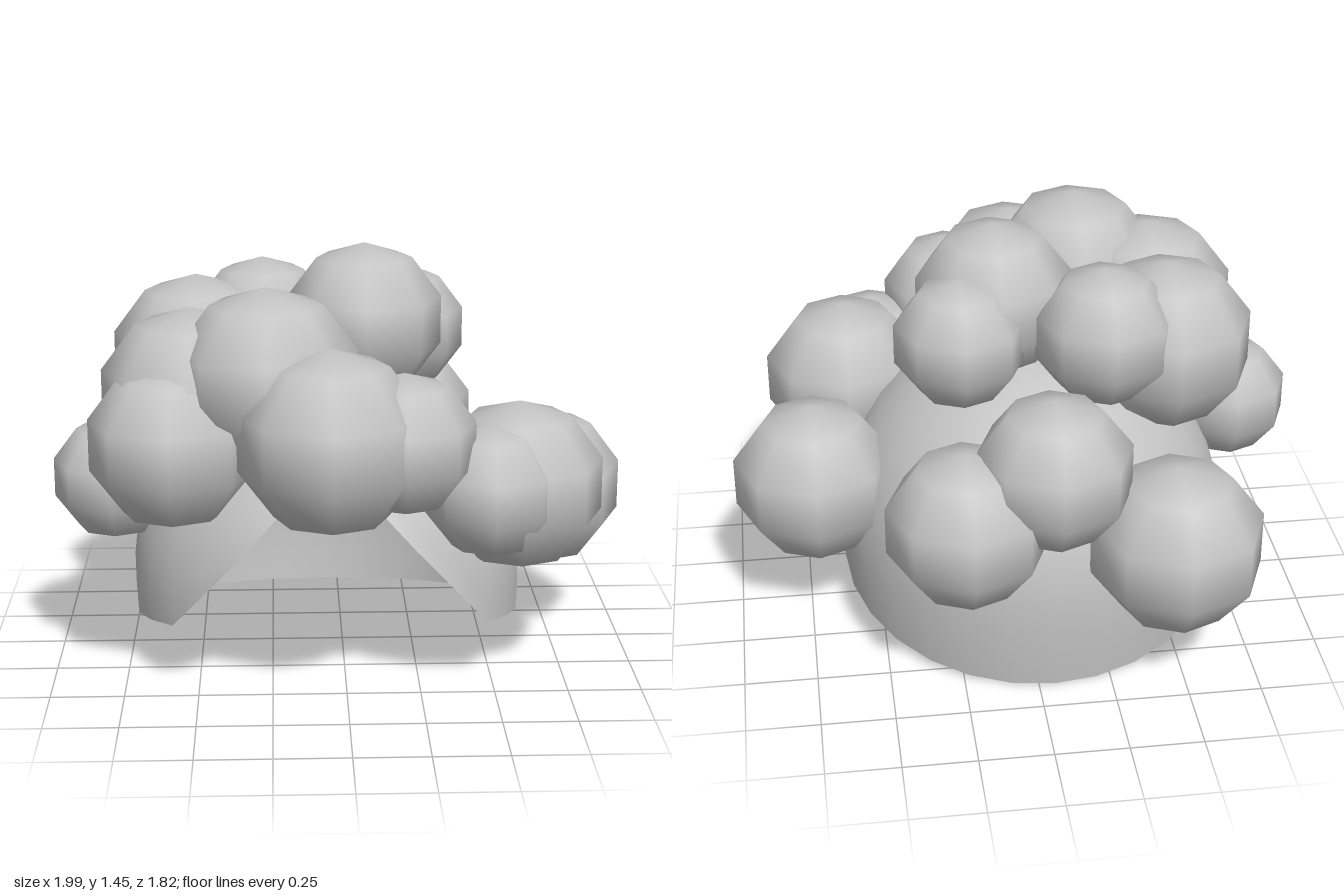
import * as THREE from 'three';
import { mergeVertices } from 'three/addons/utils/BufferGeometryUtils.js';

const hair = new THREE.MeshStandardMaterial({ color: 0xc4c4c4, side: THREE.DoubleSide });
hair.name = 'hair grey';

// Open dome with a tilted rim and a pointed arch cut in the front
function makeCap() {
  const cols = 28, rows = 12, R = 0.68, cx = -0.055, cy = 0.32, cz = 0.03;
  const geo = new THREE.SphereGeometry(1, cols, rows, 0, Math.PI * 2, 0, Math.PI / 2);
  const pos = geo.attributes.position;
  for (let i = 0; i <= rows; i++) {
    for (let j = 0; j <= cols; j++) {
      const u = ((j % cols) / cols) * Math.PI * 2;
      const dx = -Math.cos(u), dz = Math.sin(u);
      const fromFront = Math.abs(Math.atan2(dx, dz));
      const tilt = 0.135 + 0.215 * (cz + 0.67 * dz);
      const arch = 0.87 - 0.733 * fromFront;
      const rim = Math.max(tilt, arch);
      const phi = (i / rows) * Math.acos((rim - cy) / R);
      const c = Math.cos(phi);
      // the skirt below the widest line tapers only a little
      const r = R * (c >= 0 ? Math.sin(phi) : Math.sqrt(1 - 0.25 * c * c));
      pos.setXYZ(i * (cols + 1) + j, cx + dx * r, cy + R * c, cz + dz * r);
    }
  }
  geo.deleteAttribute('uv');
  geo.deleteAttribute('normal');
  const merged = mergeVertices(geo, 1e-5);
  merged.computeVertexNormals();
  const cap = new THREE.Mesh(merged, hair);
  cap.name = 'hairCap';
  return cap;
}

// Curls: x, y, z, radius
const curls = [
  // back
  [-0.46, 0.535, -0.62, 0.295], [-0.05, 0.84, -0.605, 0.26], [0.24, 0.67, -0.63, 0.27],
  // crown
  [-0.505, 1.025, -0.107, 0.295], [-0.275, 1.12, -0.21, 0.24],
  [0.21, 1.11, -0.18, 0.225], [0.075, 1.177, 0, 0.27],
  // sides
  [0.715, 0.55, -0.075, 0.282], [-0.785, 0.66, 0.133, 0.215], [0.575, 0.7, 0.385, 0.287],
  // front
  [-0.51, 0.985, 0.29, 0.305], [-0.26, 1.07, 0.39, 0.305], [-0.57, 0.86, 0.43, 0.282],
  [-0.055, 0.915, 0.612, 0.307], [0.18, 0.9, 0.585, 0.235], [0.47, 0.72, 0.513, 0.225],
];

export function createModel() {
  const model = new THREE.Group();
  model.name = 'curlyHair';
  model.add(makeCap());
  const ball = new THREE.SphereGeometry(1, 8, 5);
  curls.forEach(([x, y, z, r], i) => {
    const curl = new THREE.Mesh(ball, hair);
    curl.name = 'curl' + (i + 1);
    curl.position.set(x, y, z);
    curl.scale.set(r * 1.035, r, r * 1.035);
    model.add(curl);
  });
  return model;
}
